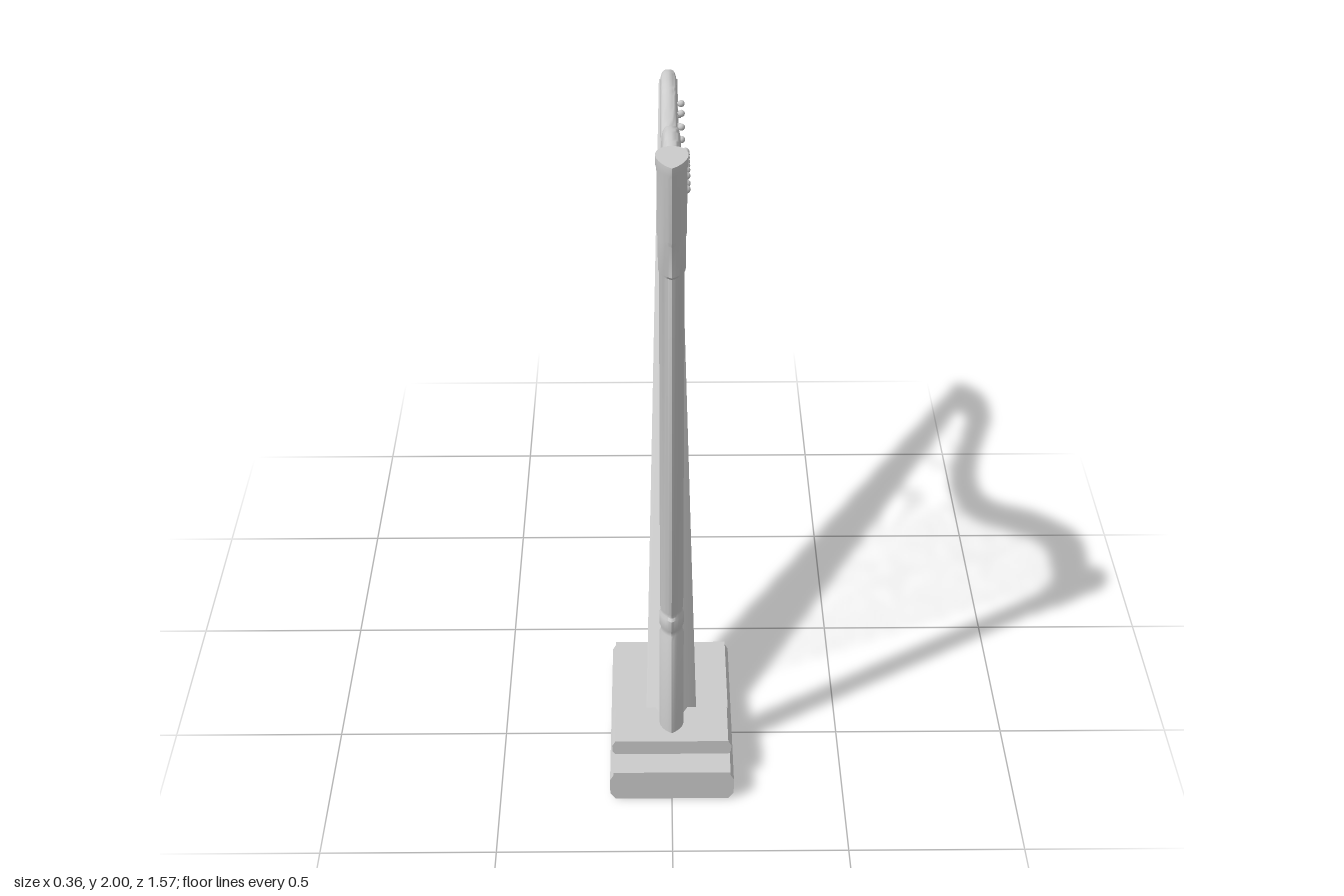
import * as THREE from 'three';
import { toCreasedNormals } from 'three/addons/utils/BufferGeometryUtils.js';

const material = new THREE.MeshStandardMaterial({ color: 0xcccccc });
const V = (x, y, z) => new THREE.Vector3(x, y, z);

function add(parent, name, geometry) {
  const mesh = new THREE.Mesh(geometry, material);
  mesh.name = name;
  parent.add(mesh);
  return mesh;
}

// Skin a list of closed rings (counter-clockwise seen along the loft) and cap both ends
function loft(rings, crease = 0.6) {
  const out = [];
  const n = rings[0].length;
  const tri = (...pts) => pts.forEach((p) => out.push(p.x, p.y, p.z));
  for (let i = 0; i < rings.length - 1; i++) {
    const a = rings[i], b = rings[i + 1];
    for (let j = 0; j < n; j++) {
      const k = (j + 1) % n;
      tri(a[j], a[k], b[k]);
      tri(a[j], b[k], b[j]);
    }
  }
  const centre = (r) => r.reduce((s, p) => s.add(p), V(0, 0, 0)).divideScalar(n);
  const first = rings[0], last = rings[rings.length - 1];
  const c0 = centre(first), c1 = centre(last);
  for (let j = 0; j < n; j++) {
    const k = (j + 1) % n;
    tri(c0, first[k], first[j]);
    tri(c1, last[j], last[k]);
  }
  const g = new THREE.BufferGeometry();
  g.setAttribute('position', new THREE.Float32BufferAttribute(out, 3));
  return toCreasedNormals(g, crease);
}

// Plinth slab: moulded profile across x, extruded along z
function slab(profile, zBack, zFront) {
  const pts = [...profile, ...profile.map(([x, y]) => [-x, y]).reverse()];
  const shape = new THREE.Shape(pts.map(([x, y]) => new THREE.Vector2(x, y)));
  const g = new THREE.ExtrudeGeometry(shape, { depth: zFront - zBack, bevelEnabled: false });
  return g.translate(0, 0, zBack);
}

// Teardrop ring of the column, pointed towards +z
function teardrop(y, halfX, zBack, zFront) {
  const ring = [];
  for (let i = 0; i < 32; i++) {
    const t = (i / 32) * Math.PI * 2;
    const x = Math.sin(t) * Math.pow(Math.sin(t / 2), 0.6) / 0.84;
    ring.push(V(halfX * x, y, (zFront + zBack) / 2 + Math.cos(t) * (zFront - zBack) / 2));
  }
  return ring;
}

// Soundbox ring: ridged front with a centre strip, rounded back
function soundboxRing(front, back, w) {
  const at = (u, x) => front.clone().lerp(back, u).setX(x * w);
  const ring = [at(0, 0.25)];
  for (let i = 0; i <= 20; i++) {
    const t = (i / 20) * Math.PI;
    ring.push(at(0.28 + 0.72 * Math.sin(t), Math.cos(t)));
  }
  ring.push(at(0, -0.25));
  return ring;
}

export function createModel() {
  const harp = new THREE.Group();
  harp.name = 'harp';

  // Stepped base
  add(harp, 'base', slab([[0.165, 0], [0.18, 0.022], [0.18, 0.072], [0.17, 0.09], [0.17, 0.1]], 0.19, 0.785));
  add(harp, 'columnStep', slab([[0.165, 0.1], [0.174, 0.112], [0.174, 0.132], [0.165, 0.148]], 0.555, 0.705));

  // Column with a ring near the foot and a stepped head: y, half width, back z, front z
  const levels = [
    [0.12, 0.035, 0.59, 0.669], [0.49, 0.035, 0.59, 0.669], [0.502, 0.031, 0.597, 0.662],
    [0.515, 0.031, 0.597, 0.662], [0.525, 0.035, 0.59, 0.669], [0.56, 0.035, 0.59, 0.669],
    [0.568, 0.031, 0.597, 0.662], [0.578, 0.031, 0.597, 0.662], [0.586, 0.033, 0.592, 0.666],
    [1.67, 0.033, 0.592, 0.666], [1.68, 0.036, 0.588, 0.676], [1.77, 0.036, 0.588, 0.676],
    [1.785, 0.039, 0.572, 0.687], [1.965, 0.039, 0.572, 0.687], [1.975, 0.042, 0.565, 0.692],
    [2, 0.042, 0.565, 0.692],
  ];
  add(harp, 'column', loft(levels.map((l) => teardrop(...l))));

  // Tapering soundbox
  const frontLow = V(0, 0.1, 0.655), frontHigh = V(0, 1.615, -0.725);
  const backLow = V(0, 0.1, 0.26), backHigh = V(0, 1.565, -0.785);
  add(harp, 'soundbox', loft([
    soundboxRing(frontLow, backLow, 0.075),
    soundboxRing(frontHigh, backHigh, 0.029),
  ], 0.35));

  // Curved neck: matching points along its upper and lower edge (z, y, z, y)
  const edges = [
    [0.6, 1.945, 0.6, 1.79], [0.51, 1.97, 0.51, 1.82], [0.43, 1.975, 0.44, 1.825],
    [0.35, 1.955, 0.38, 1.815], [0.25, 1.88, 0.32, 1.78], [0.14, 1.77, 0.24, 1.70],
    [0.035, 1.635, 0.12, 1.555], [-0.045, 1.56, 0.01, 1.465], [-0.15, 1.52, -0.14, 1.43],
    [-0.26, 1.545, -0.28, 1.46], [-0.39, 1.61, -0.43, 1.55], [-0.5, 1.67, -0.52, 1.585],
    [-0.58, 1.68, -0.57, 1.575], [-0.67, 1.665, -0.6, 1.545], [-0.77, 1.595, -0.64, 1.5],
  ];
  const upper = new THREE.SplineCurve(edges.map((e) => new THREE.Vector2(e[0], e[1])));
  const lower = new THREE.SplineCurve(edges.map((e) => new THREE.Vector2(e[2], e[3])));
  const round = (v) => Math.sign(v) * Math.pow(Math.abs(v), 0.6);
  const neckRings = [];
  for (let i = 0; i <= 84; i++) {
    const a = upper.getPoint(i / 84), b = lower.getPoint(i / 84);
    const ring = [];
    for (let j = 0; j < 28; j++) {
      const t = (j / 28) * Math.PI * 2;
      const p = b.clone().lerp(a, 0.5 + 0.5 * round(Math.cos(t)));
      ring.push(V(0.026 * round(Math.sin(t)), p.y, p.x));
    }
    neckRings.push(ring);
  }
  add(harp, 'neck', loft(neckRings, 0.9));

  // Strings, each with a tuning pin, a guide disc and an eyelet on the soundbox
  const pinPath = new THREE.SplineCurve([
    [0.555, 1.873], [0.5, 1.893], [0.44, 1.895], [0.38, 1.889], [0.315, 1.862],
    [0.25, 1.82], [0.19, 1.766], [0.125, 1.68], [0.06, 1.597], [-0.02, 1.523],
    [-0.115, 1.49], [-0.205, 1.49], [-0.31, 1.522], [-0.4, 1.575], [-0.495, 1.63],
  ].map(([z, y]) => new THREE.Vector2(z, y)));
  const ball = new THREE.SphereGeometry(0.011, 12, 8);
  const stem = new THREE.CylinderGeometry(0.005, 0.005, 0.03, 8).rotateZ(Math.PI / 2);
  const disc = new THREE.CylinderGeometry(0.007, 0.007, 0.016, 10).rotateZ(Math.PI / 2);
  const eyelet = new THREE.SphereGeometry(0.006, 8, 6);
  const wire = new THREE.CylinderGeometry(0.0018, 0.0018, 1, 6);
  const strings = new THREE.Group();
  strings.name = 'strings';
  harp.add(strings);
  const count = 36;
  for (let i = 0; i < count; i++) {
    const f = i / (count - 1);
    const pin = pinPath.getPoint(f);
    const top = V(0.029, pin.y, pin.x);
    const foot = frontLow.clone().lerp(frontHigh, 0.19 + 0.675 * f);
    const along = foot.clone().sub(top);
    const length = along.length();
    along.normalize();

    const string = add(strings, 'string', wire);
    string.position.copy(top).lerp(foot, 0.5);
    string.scale.y = length;
    string.quaternion.setFromUnitVectors(V(0, 1, 0), along);

    add(strings, 'tuningPin', ball).position.set(0.038, pin.y, pin.x);
    add(strings, 'pinStem', stem).position.set(0.025, pin.y, pin.x);
    add(strings, 'guideDisc', disc).position.copy(top).addScaledVector(along, 0.045).setX(0.029);
    add(strings, 'eyelet', eyelet).position.copy(foot);
  }
  return harp;
}
